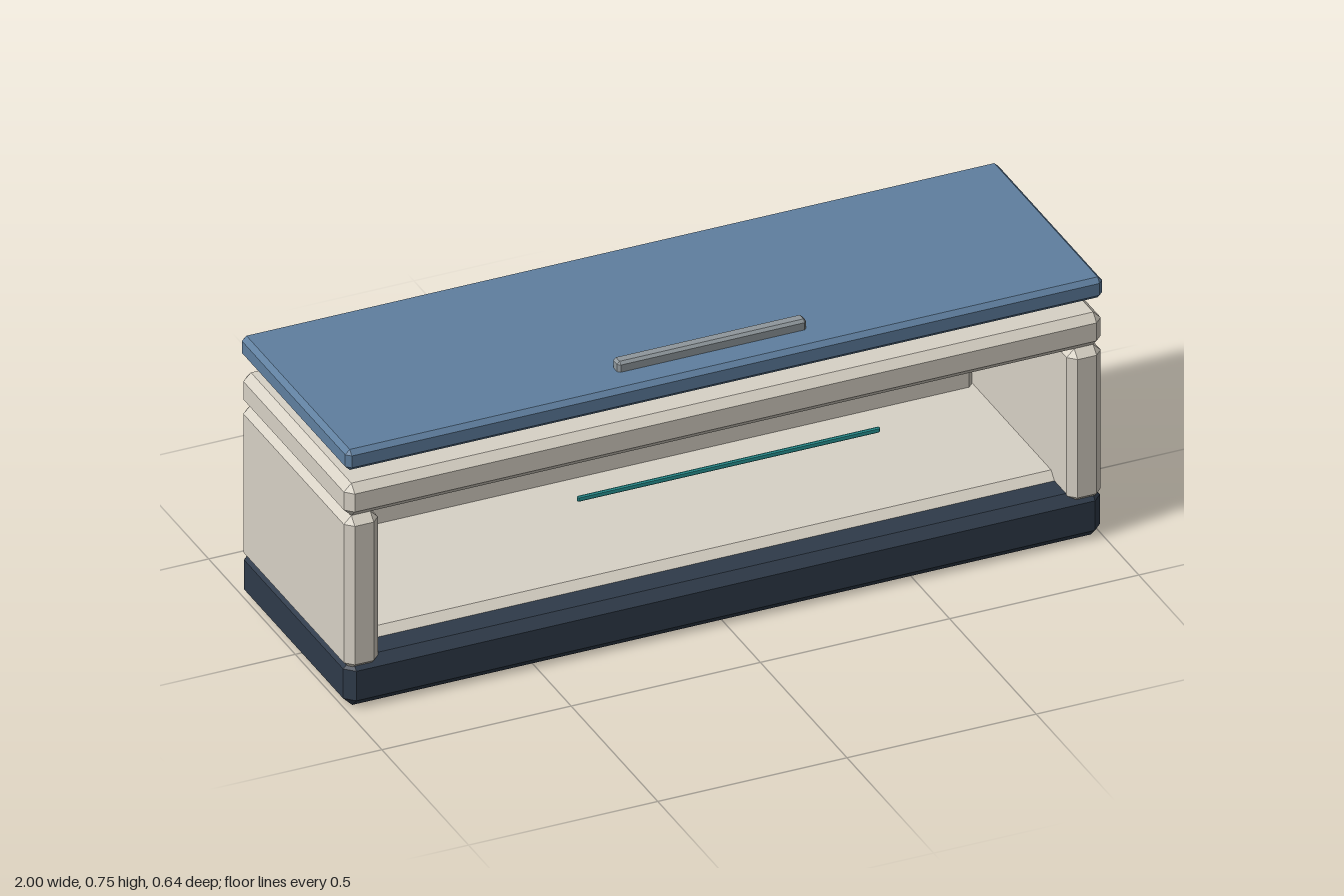
import * as THREE from 'three';
import { ConvexGeometry } from 'three/addons/geometries/ConvexGeometry.js';

const material = (color) => new THREE.MeshStandardMaterial({ color });

// Box between two corners, all edges chamfered by c
function chamferBox(min, max, c) {
  const size = min.map((v, i) => (max[i] - v) / 2);
  const points = [];
  for (const sx of [-1, 1]) for (const sy of [-1, 1]) for (const sz of [-1, 1]) {
    for (let axis = 0; axis < 3; axis++) {
      const p = size.map((h, i) => (i === axis ? h : h - c));
      points.push(new THREE.Vector3(sx * p[0], sy * p[1], sz * p[2]));
    }
  }
  const geometry = new ConvexGeometry(points);
  geometry.translate(...min.map((v, i) => (v + max[i]) / 2));
  return geometry;
}

export function createModel() {
  const model = new THREE.Group();
  model.name = 'cabinet';

  const cream = material(0xd8d2c6);
  const navy = material(0x2f3b4a);
  const blue = material(0x5f7f9f);
  const grey = material(0x8f979c);
  const teal = material(0x2a9d9d);

  const add = (name, min, max, c, mat) => {
    const mesh = new THREE.Mesh(chamferBox(min, max, c), mat);
    mesh.name = name;
    model.add(mesh);
  };

  // Plinth and open-fronted body
  add('base', [-1, 0, -0.32], [1, 0.13, 0.3], 0.024, navy);
  add('floor', [-0.93, 0.09, -0.3], [0.93, 0.15, 0.21], 0.02, cream);
  add('backPanel', [-0.915, 0.11, -0.32], [0.915, 0.53, -0.25], 0.02, cream);
  add('leftWall', [0.91, 0.105, -0.32], [1, 0.53, 0.3], 0.02, cream);
  add('rightWall', [-1, 0.105, -0.32], [-0.91, 0.53, 0.3], 0.02, cream);
  add('topPanel', [-1, 0.53, -0.32], [1, 0.62, 0.3], 0.02, cream);

  // Raised lid with its handle
  add('lid', [-1, 0.663, -0.32], [1, 0.72, 0.3], 0.012, blue);
  add('handle', [-0.25, 0.712, 0.19], [0.25, 0.747, 0.225], 0.007, grey);

  // Thin strip in front of the opening
  add('frontStrip', [-0.4, 0.446, 0.311], [0.4, 0.461, 0.32], 0.003, teal);

  return model;
}
